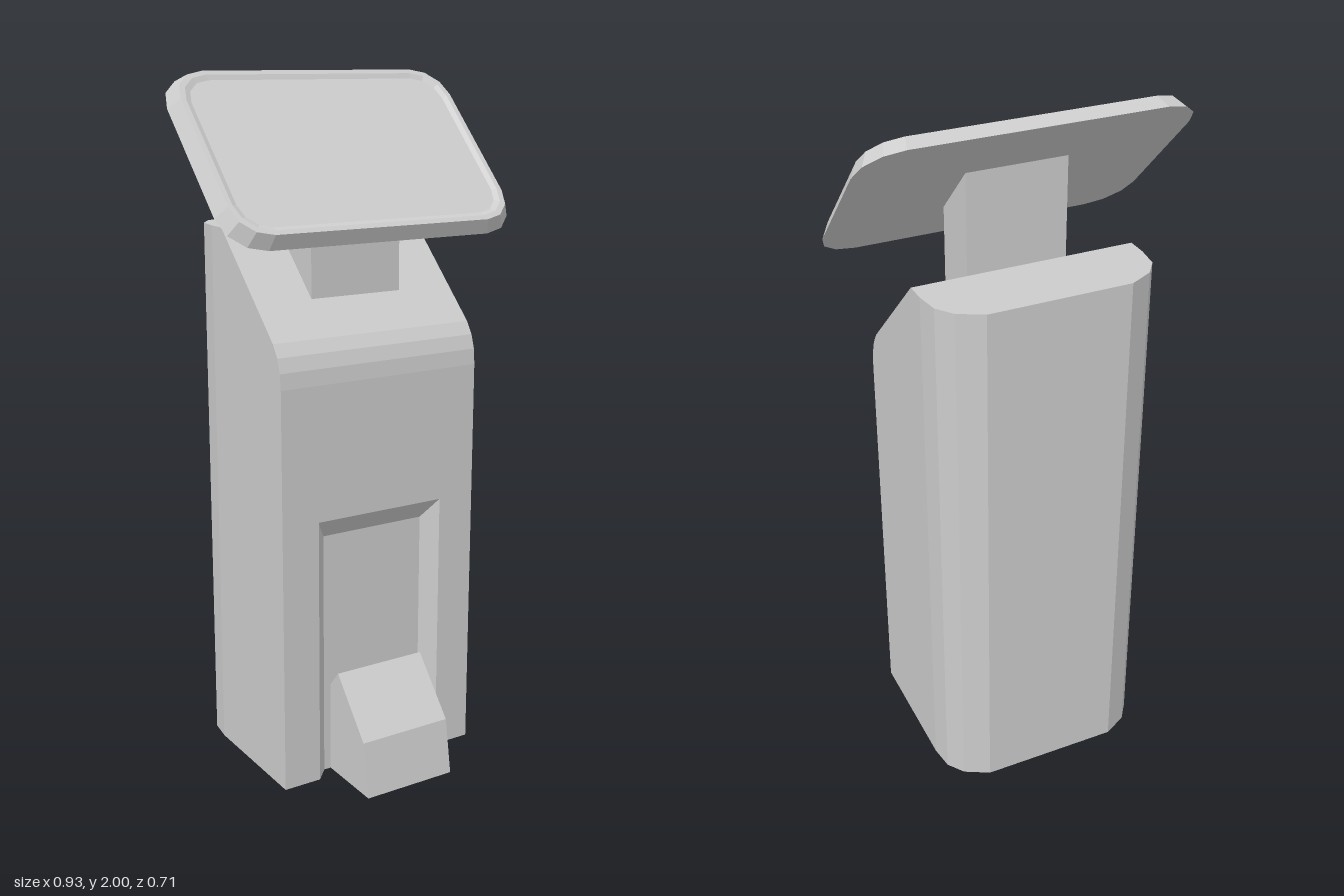
import * as THREE from 'three';

const grey = new THREE.MeshStandardMaterial({ color: 0xcccccc, side: THREE.DoubleSide });
grey.name = 'light grey';

// Flat-faced mesh from convex polygons, corners counter-clockwise
function facetMesh(name, polygons) {
  const pos = [];
  for (const p of polygons) {
    for (let i = 1; i < p.length - 1; i++) pos.push(...p[0], ...p[i], ...p[i + 1]);
  }
  const geo = new THREE.BufferGeometry();
  geo.setAttribute('position', new THREE.Float32BufferAttribute(pos, 3));
  geo.computeVertexNormals();
  const mesh = new THREE.Mesh(geo, grey);
  mesh.name = name;
  return mesh;
}

// Mirrors a polygon across x and keeps it facing outward
const mirrorX = (poly) => poly.map(([x, y, z]) => [-x, y, z]).reverse();
const both = (poly) => [poly, mirrorX(poly)];

// Prism with a side profile of [z, y] points, centred on x
function sidePrism(name, profile, width) {
  const shape = new THREE.Shape(profile.map(([z, y]) => new THREE.Vector2(-z, y)));
  const geo = new THREE.ExtrudeGeometry(shape, { depth: width, bevelEnabled: false });
  geo.translate(0, 0, -width / 2);
  geo.rotateY(Math.PI / 2);
  const mesh = new THREE.Mesh(geo, grey);
  mesh.name = name;
  return mesh;
}

// Hollow pedestal: rows of [z, half width, top height] from front to back
function makePedestal() {
  const rows = [
    [0.19, 0.32, 1.18], [0.186, 0.32, 1.225], [0.173, 0.32, 1.265], [0.15, 0.32, 1.3],
    [-0.14, 0.32, 1.58], [-0.2, 0.32, 1.58], [-0.27, 0.31, 1.58],
    [-0.318, 0.275, 1.58], [-0.355, 0.205, 1.58],
  ];
  const faces = [];
  for (let i = 0; i < rows.length - 1; i++) {
    const [z0, w0, y0] = rows[i];
    const [z1, w1, y1] = rows[i + 1];
    faces.push(...both([[w0, 0, z0], [w1, 0, z1], [w1, y1, z1], [w0, y0, z0]]));
    faces.push([[-w0, y0, z0], [w0, y0, z0], [w1, y1, z1], [-w1, y1, z1]]);
  }
  const [zb, wb, yb] = rows[rows.length - 1];
  faces.push([[wb, 0, zb], [-wb, 0, zb], [-wb, yb, zb], [wb, yb, zb]]);

  // Front wall around the niche opening
  const [zf, wf, yf] = rows[0];
  const ox = 0.205, oy = 0.79;
  faces.push(...both([[ox, 0, zf], [wf, 0, zf], [wf, yf, zf], [ox, oy, zf]]));
  faces.push([[-ox, oy, zf], [ox, oy, zf], [wf, yf, zf], [-wf, yf, zf]]);
  return facetMesh('pedestal', faces);
}

// Niche with splayed sides
function makeNiche() {
  const ox = 0.205, oy = 0.79, zf = 0.19;
  const ix = 0.165, iy = 0.73, zi = 0.147;
  return facetMesh('niche', [
    ...both([[ix, 0, zi], [ox, 0, zf], [ox, oy, zf], [ix, iy, zi]]),
    [[-ix, iy, zi], [ix, iy, zi], [ox, oy, zf], [-ox, oy, zf]],
    [[-ix, 0, zi], [ix, 0, zi], [ix, iy, zi], [-ix, iy, zi]],
  ]);
}

// Rounded rectangle ring, counter-clockwise seen from +z
function roundedRing(hx, hy, r, z) {
  const ring = [];
  const corners = [[1, 1], [-1, 1], [-1, -1], [1, -1]];
  corners.forEach(([sx, sy], q) => {
    for (let i = 0; i <= 3; i++) {
      const a = (q + i / 3) * Math.PI / 2;
      ring.push([sx * (hx - r) + r * Math.cos(a), sy * (hy - r) + r * Math.sin(a), z]);
    }
  });
  return ring;
}

// Tilted display with a chamfered rim and a shallow sunken screen
function makeDisplay() {
  const rings = [
    roundedRing(0.466, 0.304, 0.115, -0.021),
    roundedRing(0.44, 0.286, 0.1, 0.021),
    roundedRing(0.425, 0.271, 0.09, 0.021),
    roundedRing(0.41, 0.256, 0.08, 0.015),
  ];
  const faces = [[...rings[0]].reverse()];
  for (let k = 0; k < 2; k++) faces.push(...band(rings[k], rings[k + 1]));
  const display = new THREE.Group();
  display.name = 'display';
  display.add(facetMesh('displayFrame', faces));
  display.add(facetMesh('screen', [...band(rings[2], rings[3]), rings[3]]));
  display.position.set(0, 1.785, -0.006);
  display.rotation.x = -Math.PI / 4;
  return display;
}

// Quads joining two rings
function band(a, b) {
  return a.map((p, i) => {
    const j = (i + 1) % a.length;
    return [p, a[j], b[j], b[i]];
  });
}

export function createModel() {
  const model = new THREE.Group();
  model.name = 'kiosk';
  model.add(makePedestal(), makeNiche(), makeDisplay());
  // Neck between the sloped top and the display
  model.add(sidePrism('neck', [[0.055, 1.385], [-0.095, 1.53], [-0.095, 1.842], [0.055, 1.692]], 0.29));
  // Wedge-shaped foot rest running back under the niche
  model.add(sidePrism('footRest', [[0.355, 0], [-0.08, 0], [0.19, 0.32], [0.328, 0.16]], 0.286));
  return model;
}
